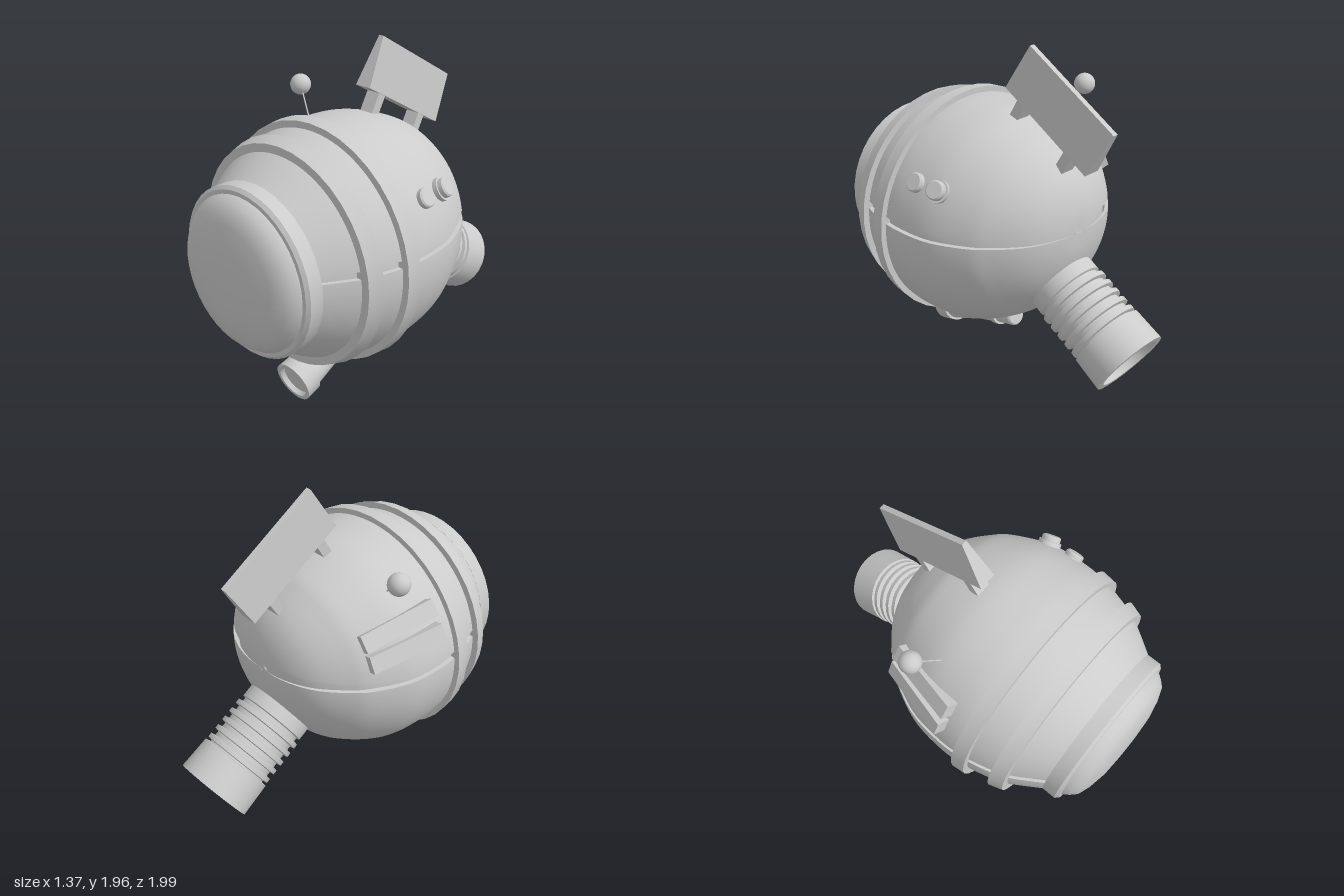
import * as THREE from 'three';
import { toCreasedNormals } from 'three/addons/utils/BufferGeometryUtils.js';
import { ParametricGeometry } from 'three/addons/geometries/ParametricGeometry.js';

const mat = new THREE.MeshStandardMaterial({ color: 0xcccccc });
const thin = new THREE.MeshStandardMaterial({ color: 0xcccccc, side: THREE.DoubleSide });
const V = (x, y, z) => new THREE.Vector3(x, y, z);
const UP = V(0, 1, 0);

// Hull profile: radius and z, from the back pole to the front collar
const profile = new THREE.SplineCurve([
  [0.004, -0.5], [0.12, -0.493], [0.24, -0.46], [0.35, -0.4], [0.46, -0.3], [0.54, -0.2], [0.63, 0],
  [0.655, 0.2], [0.645, 0.36], [0.6, 0.54], [0.56, 0.63], [0.455, 0.8],
].map(([r, z]) => new THREE.Vector2(r, z)));

// The hull axis and the seam both rise a little toward the back
const back = (z) => THREE.MathUtils.clamp((0.3 - z) / 0.8, 0, 1) ** 2;
const axisY = (z) => 0.93 + 0.08 * back(z);
const seamUpper = (z) => 1.045 + 0.04 * back(z);
const seamLower = (z) => 1.005 + 0.022 * back(z);
const seamAngle = (seam, r, z) => Math.asin(THREE.MathUtils.clamp((seam(z) - axisY(z)) / r, -1, 1));

function hullPoint(r, a, z, target) {
  return target.set(r * Math.cos(a), axisY(z) + r * Math.sin(a), z);
}

// Surface of the hull between two angles that depend on radius and z
function hullSurface(from, to, inset = 0) {
  return new ParametricGeometry((u, v, target) => {
    const p = profile.getPoint(v);
    const a = THREE.MathUtils.lerp(from(p.x, p.y), to(p.x, p.y), u);
    hullPoint(Math.max(p.x - inset, 0.002), a, p.y + inset * back(p.y), target);
  }, 56, 48);
}

// Wall of the seam, from the shell's edge inward
function seamWall(seam, side) {
  return new ParametricGeometry((u, v, target) => {
    const p = profile.getPoint(v);
    hullPoint(p.x, seamAngle(seam, p.x, p.y), p.y, target);
    target.x = side * Math.max(target.x - 0.03 * u, 0);
  }, 1, 48);
}

// Position and outward normal on the hull at an angle and z
function onHull(a, z) {
  let lo = 0, hi = 1;
  for (let i = 0; i < 30; i++) {
    const mid = (lo + hi) / 2;
    if (profile.getPoint(mid).y < z) lo = mid; else hi = mid;
  }
  const p = profile.getPoint(lo), t = profile.getTangent(lo);
  return {
    position: hullPoint(p.x, a, z, V(0, 0, 0)),
    normal: V(Math.cos(a) * t.y, Math.sin(a) * t.y, -t.x).normalize(),
  };
}

// Turned part along +y with sharp edges kept
function turned(points, segments = 40) {
  const geo = new THREE.LatheGeometry(points.map(([r, y]) => new THREE.Vector2(r, y)), segments);
  return toCreasedNormals(geo, 0.55);
}

export function createModel() {
  const model = new THREE.Group();
  model.name = 'robotHead';
  const add = (name, geo, material = mat, parent = model) => {
    const mesh = new THREE.Mesh(geo, material);
    mesh.name = name;
    parent.add(mesh);
    return mesh;
  };

  // Hull: two shells over an inner core that shows in the seam
  const upper = (r, z) => seamAngle(seamUpper, r, z);
  const lower = (r, z) => seamAngle(seamLower, r, z);
  add('upperShell', hullSurface(upper, (r, z) => Math.PI - upper(r, z)), thin);
  add('lowerShell', hullSurface((r, z) => Math.PI - lower(r, z), (r, z) => 2 * Math.PI + lower(r, z)), thin);
  add('innerCore', hullSurface(() => 0, () => 2 * Math.PI, 0.025));
  for (const side of [-1, 1]) {
    add('upperSeamWall', seamWall(seamUpper, side), thin);
    add('lowerSeamWall', seamWall(seamLower, side), thin);
  }

  // Bands around the hull and the front collar with its domed lens
  const frontParts = {
    rearBand: [[0.62, 0.32], [0.684, 0.32], [0.676, 0.4], [0.61, 0.4]],
    frontBand: [[0.57, 0.54], [0.638, 0.54], [0.612, 0.62], [0.54, 0.62]],
    collar: [[0.4, 0.785], [0.466, 0.785], [0.466, 0.865], [0.448, 0.882], [0.4, 0.882]],
    lens: [[0.43, 0.86], [0.425, 0.885], [0.4, 0.92], [0.37, 0.95], [0.3, 0.975], [0.2, 0.994], [0.1, 1], [0, 1]],
  };
  for (const [name, points] of Object.entries(frontParts)) {
    const part = add(name, turned(points));
    part.rotation.x = Math.PI / 2;
    part.position.y = 0.93;
  }

  // Ribbed hose with an open, funnel-shaped mouth
  const hosePoints = [[0.2, -0.15], [0.2, 0.085]];
  for (let i = 0; i < 5; i++) {
    const y = 0.12 + i * 0.06;
    hosePoints.push([0.183, y - 0.03], [0.183, y - 0.008], [0.208, y - 0.004], [0.208, y + 0.022], [0.183, y + 0.026]);
  }
  hosePoints.push([0.183, 0.395], [0.212, 0.4], [0.218, 0.59], [0.18, 0.59], [0.175, 0.555], [0.095, 0.42], [0, 0.42]);
  const hose = add('hose', turned(hosePoints, 28));
  hose.position.set(0, 0.68, -0.375);
  hose.quaternion.setFromUnitVectors(UP, V(0, -0.3, -0.51).normalize());

  // Lamp slung under the hull
  const lamp = add('lamp', turned([
    [0, 0], [0.055, 0], [0.064, 0.01], [0.064, 0.125], [0.078, 0.125], [0.078, 0.16], [0.068, 0.16], [0.074, 0.3],
    [0.106, 0.54], [0.12, 0.54], [0.123, 0.632], [0.1, 0.632], [0.092, 0.605], [0, 0.605],
  ], 28));
  lamp.position.set(0, 0.287, -0.03);
  lamp.quaternion.setFromUnitVectors(UP, V(0, -0.164, 0.613).normalize());

  // Wedge-shaped fin on two legs, tilted down to the back
  const fin = new THREE.Group();
  fin.name = 'fin';
  fin.position.set(0, 1.672, -0.35);
  fin.rotation.x = -Math.PI / 6;
  model.add(fin);
  const wedge = new THREE.Shape([[-0.05, -0.143], [0.05, -0.143], [0.015, 0.143], [-0.015, 0.143]]
    .map(([x, y]) => new THREE.Vector2(x, y)));
  const panel = new THREE.ExtrudeGeometry(wedge, { depth: 0.656, bevelEnabled: false });
  add('finPanel', panel.translate(0, 0, -0.328), mat, fin);
  for (const z of [0.205, -0.18]) {
    add('finLeg', new THREE.BoxGeometry(0.085, 0.17, 0.055), mat, fin).position.set(0, -0.215, z);
  }

  // Two round buttons on the left side
  for (const [z, height] of [[0.15, 0.06], [0, 0.1]]) {
    const { position, normal } = onHull(0.555, z);
    const points = [[0.053, -0.04], [0.053, height / 2 - 0.008], [0.045, height / 2], [0, height / 2]];
    if (z === 0) points.splice(0, 1, [0.064, -0.04], [0.064, 0.018], [0.053, 0.018]);
    const button = add('button', turned(points, 24));
    button.position.copy(position);
    button.quaternion.setFromUnitVectors(UP, normal);
  }

  // Two raised bars on the right side, laid along the hull
  for (const elevation of [0.44, 0.64]) {
    const { position, normal } = onHull(Math.PI - elevation, 0);
    const bar = add('sideBar', new THREE.BoxGeometry(0.095, 0.07, 0.44));
    const across = V(0, 0, 1).cross(normal).normalize();
    const along = across.clone().cross(normal).negate();
    bar.quaternion.setFromRotationMatrix(new THREE.Matrix4().makeBasis(normal.clone().cross(along), normal, along));
    bar.position.copy(position).addScaledVector(normal, -0.008);
  }

  // Ball antenna
  const tip = V(-0.53, 1.605, -0.04), foot = V(-0.39, 1.46, 0.035);
  const stem = add('antennaStem', new THREE.CylinderGeometry(0.004, 0.004, tip.distanceTo(foot), 8));
  stem.position.copy(tip).lerp(foot, 0.5);
  stem.quaternion.setFromUnitVectors(UP, tip.clone().sub(foot).normalize());
  add('antennaBall', new THREE.SphereGeometry(0.06, 24, 16)).position.copy(tip);

  return model;
}
